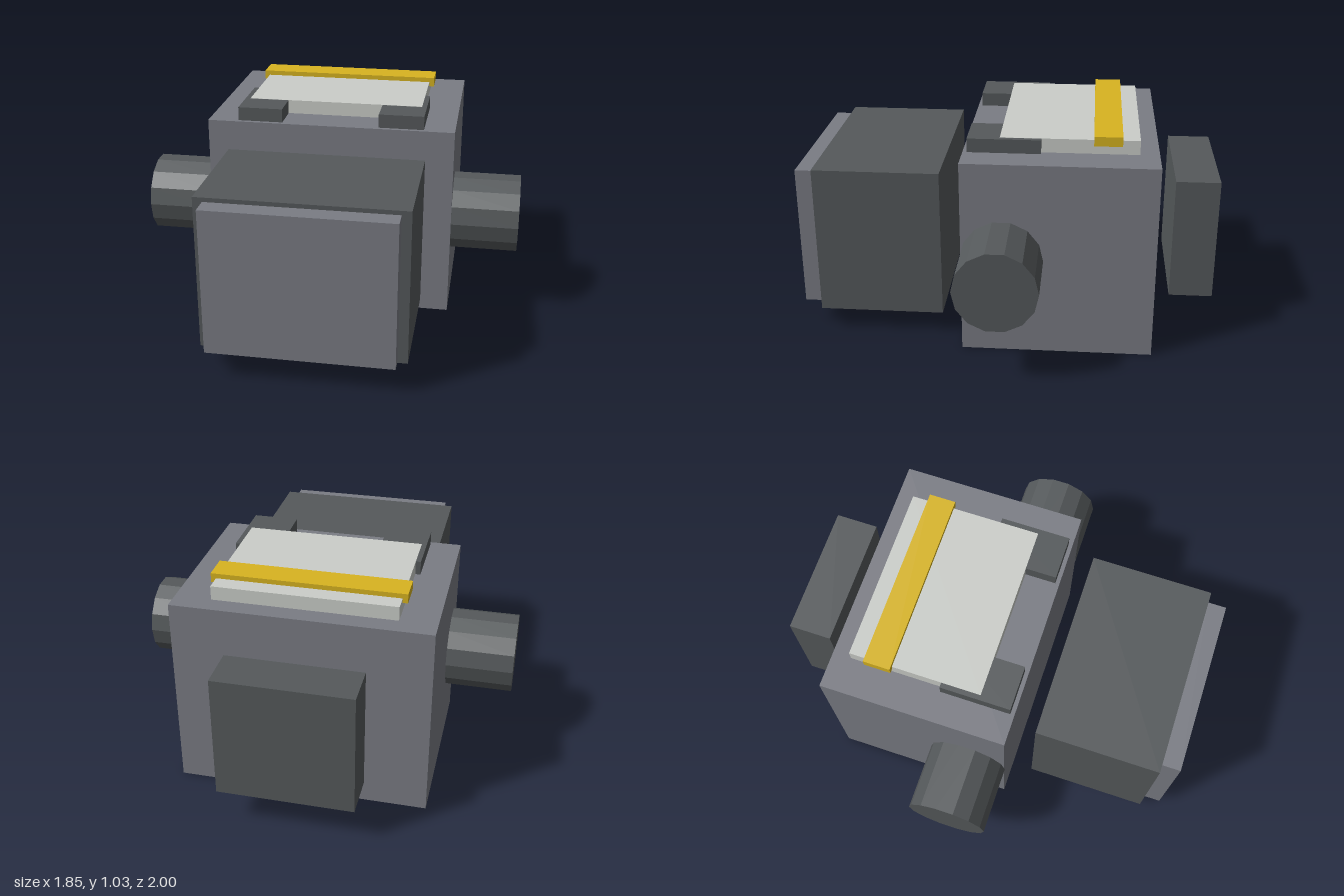
import * as THREE from 'three';

const mat = (color) => new THREE.MeshStandardMaterial({ color, flatShading: true });

export function createModel() {
  const model = new THREE.Group();
  const grey = mat(0x7a7c84);
  const dark = mat(0x55595b);
  const pale = mat(0xcbcec9);
  const yellow = mat(0xd8b420);

  // Box given by its extents along each axis
  function box(name, material, [x0, x1], [y0, y1], [z0, z1]) {
    const mesh = new THREE.Mesh(new THREE.BoxGeometry(x1 - x0, y1 - y0, z1 - z0), material);
    mesh.position.set((x0 + x1) / 2, (y0 + y1) / 2, (z0 + z1) / 2);
    mesh.name = name;
    model.add(mesh);
  }

  // Main housing
  box('body', grey, [-0.6, 0.6], [0, 0.945], [-0.7, 0.2]);

  // Separate front block with its face plate
  box('frontBlock', dark, [-0.472, 0.472], [0.11, 0.84], [0.31, 0.91]);
  box('frontPlate', grey, [-0.428, 0.428], [0.13, 0.82], [0.91, 1]);

  // Separate rear block
  box('rearBlock', dark, [-0.32, 0.32], [0.175, 0.775], [-1, -0.79]);

  // Top panel with a raised stripe
  box('topPanel', pale, [-0.428, 0.428], [0.945, 1.012], [-0.61, 0.03]);
  box('topStripe', yellow, [-0.452, 0.452], [0.99, 1.035], [-0.53, -0.4]);

  // Mirrored panel clamps and side stubs
  for (const [side, s] of [['left', 1], ['right', -1]]) {
    const clampX = s > 0 ? [0.235, 0.452] : [-0.452, -0.235];
    box(side + 'Clamp', dark, clampX, [0.945, 1.011], [-0.16, 0.18]);

    const stub = new THREE.Mesh(new THREE.CylinderGeometry(0.193, 0.193, 0.325, 14), dark);
    stub.rotation.set(Math.PI / 2, 0, Math.PI / 2, 'ZXY');
    // Vertices point along z, leaving a flat on top
    stub.rotation.set(0, 0, Math.PI / 2);
    stub.position.set(s * 0.7625, 0.475, 0.01);
    stub.name = side + 'Stub';
    model.add(stub);
  }

  return model;
}
